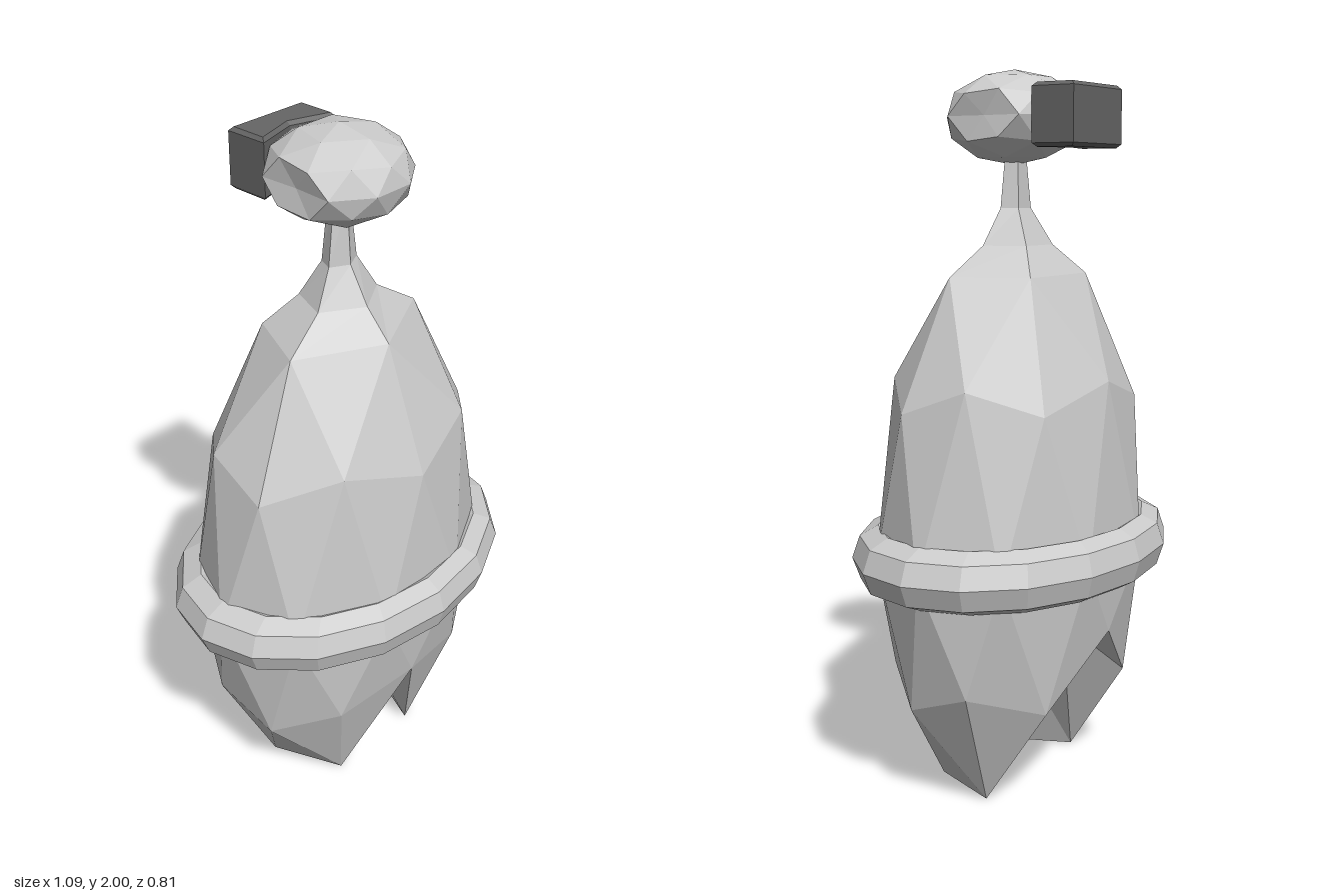
import * as THREE from 'three';

const GREY = 0xcccccc;

function part(name, geometry, color = GREY, doubleSide = false) {
  const material = new THREE.MeshStandardMaterial({ color, flatShading: true });
  if (doubleSide) material.side = THREE.DoubleSide;
  const mesh = new THREE.Mesh(geometry, material);
  mesh.name = name;
  return mesh;
}

// Point on an ellipse around the y axis; 0 degrees is the front, 90 is +x
function around(deg, rx, y, rz) {
  const a = THREE.MathUtils.degToRad(deg);
  return [rx * Math.sin(a), y, rz * Math.cos(a)];
}

const loop = (n, fn) => Array.from({ length: n }, (_, i) => fn(i));

// Egg-shaped body drawn up into a thin neck and down into two pointed legs
function bodyGeometry() {
  const pos = [];
  const tri = (a, b, c) => pos.push(...a, ...b, ...c);
  const RX = 0.475, RZ = 0.345;

  const ring5 = (rx, y, rz) => loop(5, k => around(72 * k, rx, y, rz));
  const top = ring5(0.526 * RX, 1.45, 0.526 * RZ * 0.97);
  const upper = loop(10, j => j % 2
    ? around(36 * j, 0.85 * RX, 1.17, 0.87 * RZ)
    : around(36 * j, 0.894 * RX, 1.10, 0.894 * RZ));
  const middle = loop(10, j => around(18 + 36 * j, RX, 0.68, RZ));

  // Lower ring and leg points for the +x half, front to back
  const half = [[0, 0.40, 0.295], [0.25, 0.35, 0.245], [0.385, 0.28, 0.09],
    [0.40, 0.35, -0.10], [0.22, 0.28, -0.24], [0, 0.47, -0.31]];
  const flip = p => [-p[0], p[1], p[2]];
  const lower = loop(10, j => (j <= 5 ? half[j] : flip(half[10 - j])));

  // Shoulders and belly
  for (let j = 0; j < 10; j++) {
    const n = (j + 1) % 10;
    tri(middle[j], upper[n], upper[j]);
    tri(upper[n], middle[j], middle[n]);
    tri(middle[j], lower[j], lower[n]);
    tri(lower[n], middle[n], middle[j]);
  }
  for (let k = 0; k < 5; k++) {
    const n = (k + 1) % 5;
    tri(top[k], upper[2 * k], upper[2 * k + 1]);
    tri(top[k], upper[2 * k + 1], top[n]);
    tri(top[n], upper[2 * k + 1], upper[(2 * k + 2) % 10]);
  }

  // Neck
  const neck = [top, ring5(0.118, 1.53, 0.1), ring5(0.055, 1.63, 0.04), ring5(0.032, 1.8, 0.028)];
  for (let i = 0; i < neck.length - 1; i++) {
    for (let k = 0; k < 5; k++) {
      const n = (k + 1) % 5, a = neck[i], b = neck[i + 1];
      tri(a[k], a[n], b[n]);
      tri(a[k], b[n], b[k]);
    }
  }

  // Legs: each ends in a slanted edge from toe to heel
  const toe = [0.15, 0, 0.15], heel = [0.235, 0, -0.055];
  const crotch = [0, 0.43, 0.05], rear = [0, 0.47, -0.16];
  const [L0, L1, L2, L3, L4, L5] = half;
  const leg = [[L0, toe, L1], [L1, toe, L2], [toe, heel, L2], [L2, heel, L3], [L3, heel, L4],
    [L4, heel, rear], [L4, rear, L5], [L0, crotch, toe], [crotch, heel, toe], [crotch, rear, heel]];
  for (const [a, b, c] of leg) {
    tri(a, b, c);
    tri(flip(a), flip(c), flip(b));
  }

  const g = new THREE.BufferGeometry();
  g.setAttribute('position', new THREE.Float32BufferAttribute(pos, 3));
  g.computeVertexNormals();
  return g;
}

// Faceted head with a dent on each side
function headGeometry() {
  const g = new THREE.IcosahedronGeometry(1, 1);
  g.rotateZ(-Math.atan(2 / (1 + Math.sqrt(5))));
  g.rotateY(-Math.PI / 2);
  const p = g.attributes.position;
  for (let i = 0; i < p.count; i++) {
    if (Math.abs(p.getX(i)) > 0.97) p.setX(i, p.getX(i) * 0.78);
  }
  g.scale(0.195, 0.127, 0.192);
  g.computeVertexNormals();
  return g;
}

// Bevelled block whose front is hollowed to fit the head
function blockGeometry() {
  const b = 0.01;
  const shape = new THREE.Shape([[-0.12, 0.25], [-0.12, 0.145], [0, 0.182], [0.12, 0.145], [0.12, 0.25]]
    .map(([x, y]) => new THREE.Vector2(x, y)));
  const g = new THREE.ExtrudeGeometry(shape, {
    depth: 0.145, bevelEnabled: true, bevelSize: b, bevelThickness: b, bevelSegments: 1,
  });
  g.rotateX(-Math.PI / 2);
  return g;
}

export function createModel() {
  const model = new THREE.Group();
  model.name = 'figure';

  model.add(part('body', bodyGeometry(), GREY, true));

  // Oval hoop around the waist
  const hoop = new THREE.TorusGeometry(0.46, 0.085, 8, 16);
  hoop.rotateX(Math.PI / 2);
  hoop.scale(1, 1, 0.403 / 0.545);
  const waist = part('waistRing', hoop);
  waist.position.y = 0.683;
  model.add(waist);

  const head = part('head', headGeometry());
  head.position.y = 1.873;
  model.add(head);

  const block = part('headBlock', blockGeometry(), 0x666666);
  block.position.y = 1.8;
  model.add(block);

  return model;
}
